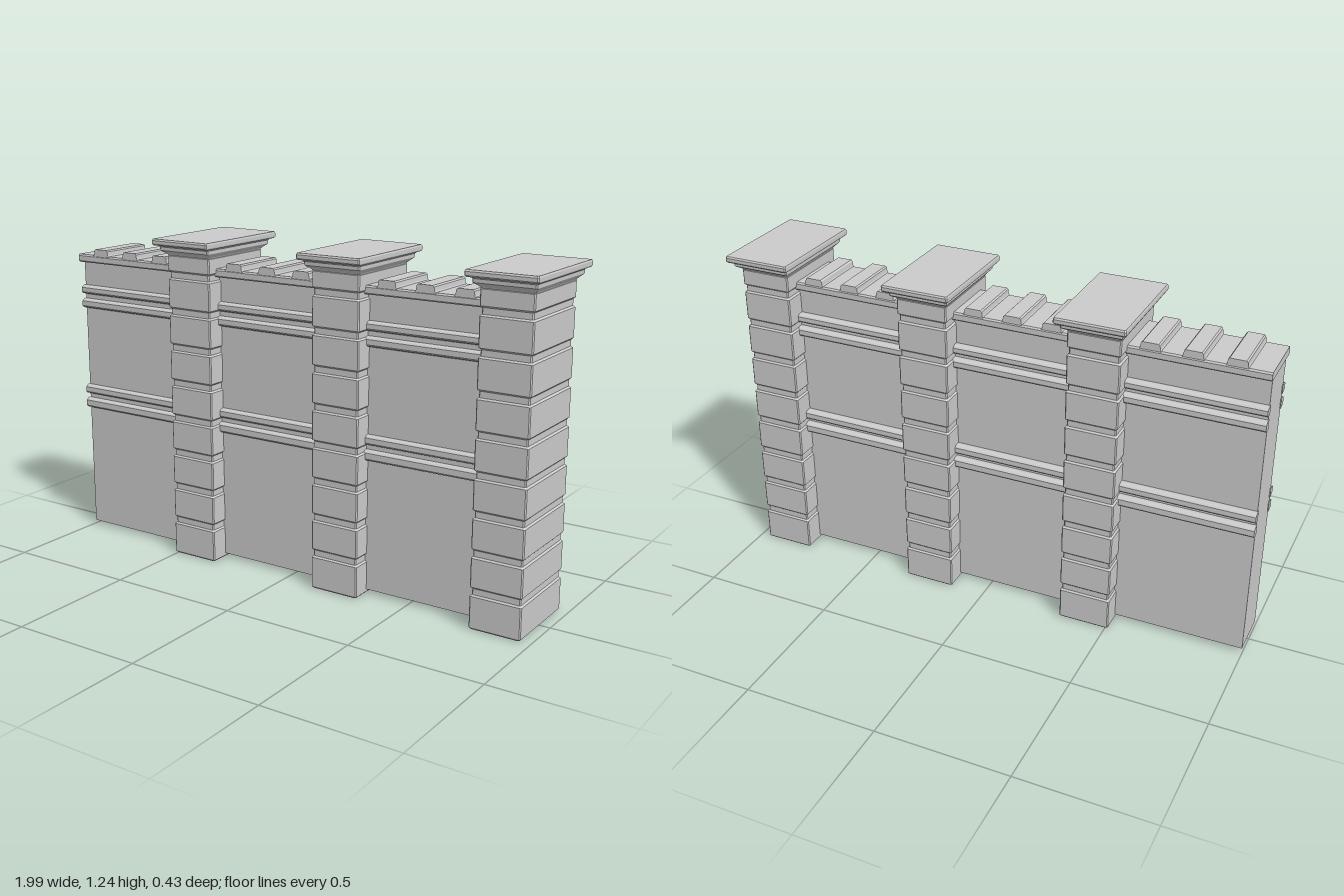
import * as THREE from 'three';

const material = new THREE.MeshStandardMaterial({ color: 0xcccccc, flatShading: true });

function add(parent, geometry, name) {
  const mesh = new THREE.Mesh(geometry, material);
  mesh.name = name;
  parent.add(mesh);
  return mesh;
}

// Stack of rectangular sections [y, halfX, halfZ] with clipped corners
function loftRect(sections, clip) {
  const rings = sections.map(([y, x, z]) => [
    [x, z - clip], [x - clip, z], [clip - x, z], [-x, z - clip],
    [-x, clip - z], [clip - x, -z], [x - clip, -z], [x, clip - z],
  ].map(([px, pz]) => [px, y, pz]));
  const pos = [];
  const tri = (a, b, c) => pos.push(...a, ...b, ...c);
  const n = 8;
  for (let r = 0; r < rings.length - 1; r++) {
    for (let i = 0; i < n; i++) {
      const j = (i + 1) % n;
      const a = rings[r][i], b = rings[r][j], c = rings[r + 1][j], d = rings[r + 1][i];
      tri(a, d, c);
      tri(a, c, b);
    }
  }
  const bottom = rings[0], top = rings[rings.length - 1];
  for (let i = 1; i < n - 1; i++) {
    tri(bottom[0], bottom[i], bottom[i + 1]);
    tri(top[0], top[i + 1], top[i]);
  }
  const geometry = new THREE.BufferGeometry();
  geometry.setAttribute('position', new THREE.Float32BufferAttribute(pos, 3));
  geometry.computeVertexNormals();
  return geometry;
}

// Profile of [z, y] points swept along x from x0 to x1
function sweepX(points, x0, x1) {
  const shape = new THREE.Shape(points.map(([z, y]) => new THREE.Vector2(z, y)));
  return new THREE.ExtrudeGeometry(shape, { depth: x1 - x0, bevelEnabled: false })
    .rotateY(-Math.PI / 2).translate(x1, 0, 0);
}

const HX = 0.096, HZ = 0.163; // pillar half sizes

// Pillar shaft: stacked blocks with chamfered edges and recessed joints
function shaftGeometry() {
  const sections = [];
  const pitch = 0.1372, bevel = 0.006, inset = 0.006;
  for (let i = 0; i < 9; i++) {
    const y0 = i === 0 ? 0 : i * pitch + 0.011;
    const y1 = i === 8 ? 1.175 : (i + 1) * pitch - 0.011;
    sections.push([y0, HX - inset, HZ - inset], [y0 + bevel, HX, HZ],
      [y1 - bevel, HX, HZ], [y1, HX - inset, HZ - inset]);
  }
  return loftRect(sections, 0.004);
}

// Capital: flared moulding under a flat slab
function capitalGeometry() {
  const profile = [[1.168, 0.98], [1.174, 1.0], [1.18, 1.05], [1.187, 1.13], [1.191, 1.16],
    [1.204, 1.165], [1.208, 1.2], [1.211, 1.3], [1.216, 1.325], [1.229, 1.325], [1.235, 1.3]];
  return loftRect(profile.map(([y, s]) => [y, HX * s, HZ * s]), 0.004);
}

export function createModel() {
  const model = new THREE.Group();
  model.name = 'walledFence';

  // Wall panel
  const wallEnd = 0.867;
  const panel = new THREE.BoxGeometry(wallEnd + 0.997, 1.095, 0.176);
  add(model, panel, 'wallPanel').position.set((wallEnd - 0.997) / 2, 0.015 + 1.095 / 2, 0.004);

  // Paired horizontal string courses on both faces
  const rails = [[0.974, 1.006], [0.918, 0.952], [0.566, 0.6], [0.508, 0.545]];
  const courses = new THREE.Group();
  courses.name = 'stringCourses';
  for (const side of [1, -1]) {
    for (const [y0, y1] of rails) {
      const profile = [[0.08, y0 - 0.004], [0.096, y0 - 0.004], [0.1, y0], [0.107, y0], [0.112, y0 + 0.006],
        [0.112, y1 - 0.009], [0.106, y1 - 0.003], [0.098, y1], [0.08, y1]];
      add(courses, sweepX(profile.map(([z, y]) => [z * side, y]), -1, wallEnd), 'rail');
    }
  }
  model.add(courses);

  // Coping slab along the wall top
  const coping = [[-0.1, 1.1], [0.116, 1.1], [0.121, 1.105], [0.121, 1.125], [0.116, 1.131],
    [-0.1, 1.131], [-0.105, 1.125], [-0.105, 1.105]];
  add(model, sweepX(coping, -1, wallEnd), 'coping');

  // Raised ridges across the coping, three per bay
  const ridgeShape = new THREE.Shape([[-0.041, 1.125], [0.041, 1.125], [0.035, 1.135], [0.033, 1.15],
    [0.028, 1.155], [-0.028, 1.155], [-0.033, 1.15], [-0.035, 1.135]].map(p => new THREE.Vector2(...p)));
  const ridge = new THREE.ExtrudeGeometry(ridgeShape, { depth: 0.222, bevelEnabled: false }).translate(0, 0, -0.102);
  const ridges = new THREE.Group();
  ridges.name = 'copingRidges';
  for (const bay of [-0.737, -0.092, 0.551]) {
    for (const i of [-1, 0, 1]) add(ridges, ridge, 'ridge').position.x = bay + i * 0.147;
  }
  model.add(ridges);

  // Pillars
  const shaft = shaftGeometry(), capital = capitalGeometry();
  for (const x of [-0.415, 0.226, 0.867]) {
    const pillar = new THREE.Group();
    pillar.name = 'pillar';
    add(pillar, shaft, 'pillarShaft');
    add(pillar, capital, 'pillarCapital');
    pillar.position.x = x;
    model.add(pillar);
  }
  return model;
}
